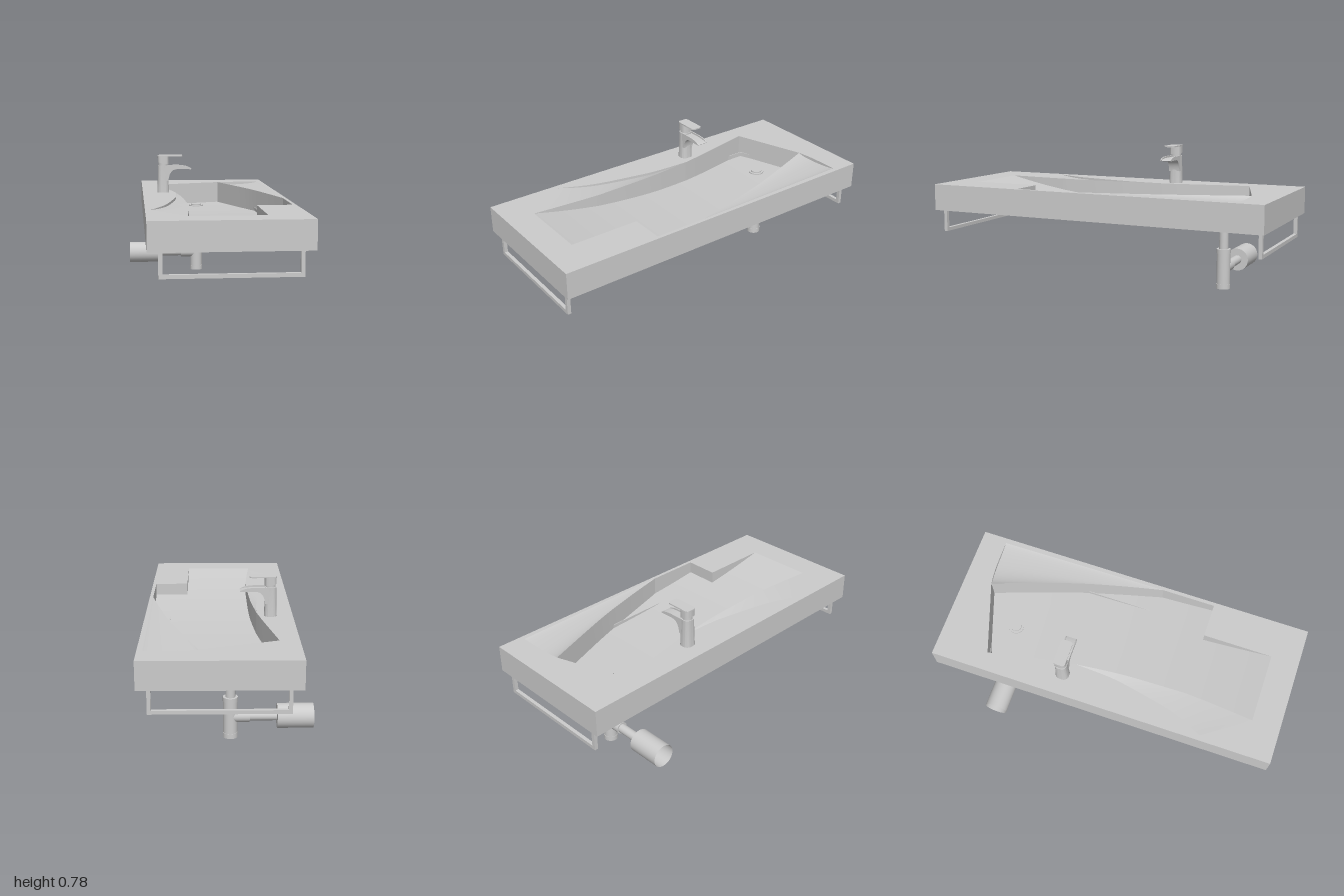
import * as THREE from 'three';
import { toCreasedNormals } from 'three/addons/utils/BufferGeometryUtils.js';

const grey = new THREE.MeshStandardMaterial({ color: 0xcccccc });
const thin = new THREE.MeshStandardMaterial({ color: 0xcccccc, side: THREE.DoubleSide });
const TOP = 0.558, BOTTOM = 0.405, CEILING = 0.45;

function add(parent, name, geometry, material = grey) {
  const mesh = new THREE.Mesh(geometry, material);
  mesh.name = name;
  parent.add(mesh);
  return mesh;
}

// Plan curve through [x, z] pairs, sampled into n + 1 points (Vector2 holding x, z)
function curve(pairs, n) {
  return new THREE.SplineCurve(pairs.map(([x, z]) => new THREE.Vector2(x, z))).getPoints(n);
}
const join = (a, b) => [...a, ...b.slice(1)];

// Ruled surface between two equally long plan lines, each with its height rule
function strip(a, ya, b, yb, across = 1) {
  const pos = [], index = [], w = across + 1;
  a.forEach((p, i) => {
    const q = b[i], t = i / (a.length - 1);
    for (let j = 0; j <= across; j++) {
      const k = j / across;
      const y = THREE.MathUtils.lerp(ya(p, t), yb(q, t), k);
      pos.push(p.x + (q.x - p.x) * k, y, p.y + (q.y - p.y) * k);
      if (i && j) {
        const c = i * w + j;
        index.push(c - w - 1, c - 1, c, c - w - 1, c, c - w);
      }
    }
  });
  const g = new THREE.BufferGeometry();
  g.setAttribute('position', new THREE.Float32BufferAttribute(pos, 3));
  g.setIndex(index);
  g.computeVertexNormals();
  return g;
}

// Flat horizontal plate with a hole; facing is +1 for up, -1 for down
function plate([x0, x1, z0, z1], hole, y, facing) {
  const flip = (x, z) => new THREE.Vector2(x, -facing * z);
  const shape = new THREE.Shape([flip(x0, z0), flip(x1, z0), flip(x1, z1), flip(x0, z1)]);
  shape.holes.push(new THREE.Path(hole.map(p => flip(p.x, p.y))));
  return new THREE.ShapeGeometry(shape).rotateX(-facing * Math.PI / 2).translate(0, y, 0);
}

function createBasin() {
  const g = new THREE.Group();
  g.name = 'basin';
  const outer = [-0.37, 0.45, -1, 1], inner = [-0.25, 0.33, -0.86, 0.86];
  const corners = ([x0, x1, z0, z1]) =>
    [[x0, z0], [x1, z0], [x1, z1], [x0, z1], [x0, z0]].map(([x, z]) => new THREE.Vector2(x, z));
  const flat = y => () => y;
  const floorY = p => TOP - 0.135 * (1 - Math.pow(Math.max(0, (p.y + 0.84) / 1.68), 2.7));
  const underY = p => Math.min(CEILING, floorY(p) - 0.015);

  // Plan lines of the bowl and of the shallow sweeps beside it
  const leftFront = curve([[-0.164, 0.84], [-0.143, 0.6], [-0.133, 0.44]], 8);
  const leftMid = curve([[-0.133, 0.44], [-0.143, 0.08], [-0.17, -0.2]], 16);
  const leftBack = curve([[-0.17, -0.2], [-0.2, -0.37], [-0.265, -0.7]], 16);
  const back = curve([[-0.265, -0.7], [0.145, -0.84]], 4);
  const rightCurve = curve([[0.145, -0.84], [0.29, -0.42], [0.37, -0.13], [0.43, 0.13]], 24);
  const rightEdge = curve([[0.43, 0.13], [0.43, 0.44]], 8);
  const notch = curve([[0.43, 0.44], [0.235, 0.44]], 2);
  const notchSide = curve([[0.235, 0.44], [0.235, 0.84]], 8);
  const frontEdge = curve([[0.235, 0.84], [-0.164, 0.84]], 2);
  const sweep = curve([[-0.34, 0.59], [-0.26, 0.4], [-0.2, 0.13], [-0.18, 0], [-0.17, -0.2]], 24);
  const backSweep = curve([[0.145, -0.84], [0.25, -0.852], [0.42, -0.855]], 24);

  // Deck, outer walls and the rim below
  const front = [rightEdge, notch, notchSide, frontEdge];
  const deckHole = [sweep, leftBack, back, backSweep, rightEdge, notch, notchSide, frontEdge]
    .flatMap((line, i) => (i === 0 || i === 4 ? line : line.slice(1)));
  add(g, 'deck', plate(outer, deckHole, TOP, 1), thin);
  const sides = (name, rect, y0, y1) => {
    const c = corners(rect);
    for (let i = 0; i < 4; i++) {
      const s = [c[i], c[i + 1]];
      add(g, name, strip(s, flat(y0), s, flat(y1)), thin);
    }
  };
  sides('outerWall', outer, BOTTOM, TOP);
  sides('recessWall', inner, BOTTOM, CEILING);
  add(g, 'bottomRim', plate(outer, corners(inner).slice(0, 4), BOTTOM, -1), thin);

  // Shallow sweeps in the deck, each with a low step
  const dip = depth => (p, t) => TOP - depth * 4 * t * (1 - t);
  const leftLine = join(leftFront, leftMid);
  add(g, 'sweepStep', strip(sweep, flat(TOP), sweep, dip(0.015)), thin);
  add(g, 'sweepSurface', strip(sweep, dip(0.015), leftLine, flat(TOP)), thin);
  add(g, 'backSweepStep', strip(backSweep, flat(TOP), backSweep, dip(0.018)), thin);
  add(g, 'backSweepSurface', strip(backSweep, dip(0.018), rightCurve, flat(TOP)), thin);

  // Bowl floor and walls
  const leftDeep = join(leftMid, leftBack);
  const rightDeep = join([...rightEdge].reverse(), [...rightCurve].reverse());
  const frontRight = [...notchSide].reverse();
  add(g, 'bowlFloor', strip(leftDeep, floorY, rightDeep, floorY, 6), thin);
  add(g, 'bowlFloorFront', strip(leftFront, floorY, frontRight, floorY, 4), thin);
  const walls = [join(leftLine, leftBack), back, rightCurve, ...front];
  for (const w of walls) add(g, 'bowlWall', strip(w, flat(TOP), w, floorY), thin);

  // Underside of the bowl, kept inside the recess
  const keep = line => line.map(p => new THREE.Vector2(
    THREE.MathUtils.clamp(p.x, inner[0] + 0.004, inner[1] - 0.004), p.y));
  const outline = walls.flatMap(w => keep(w).slice(1));
  add(g, 'recessCeiling', plate(inner, outline, CEILING, -1), thin);
  add(g, 'bowlUnderside', strip(keep(leftDeep), underY, keep(rightDeep), underY, 6), thin);
  add(g, 'bowlUndersideFront', strip(keep(leftFront), underY, keep(frontRight), underY, 4), thin);
  for (const w of walls.map(keep)) add(g, 'bowlUndersideWall', strip(w, flat(CEILING), w, underY), thin);
  return g;
}

// Upright block with a rounded plan
function roundedBlock(x0, x1, depth, r, y0, y1, steps = 1) {
  const h = depth / 2, s = new THREE.Shape();
  s.moveTo(x0 + r, -h).lineTo(x1 - r, -h).absarc(x1 - r, -h + r, r, -Math.PI / 2, 0);
  s.absarc(x1 - r, h - r, r, 0, Math.PI / 2).absarc(x0 + r, h - r, r, Math.PI / 2, Math.PI);
  s.absarc(x0 + r, -h + r, r, Math.PI, Math.PI * 1.5);
  return new THREE.ExtrudeGeometry(s, { depth: y1 - y0, steps, bevelEnabled: false, curveSegments: 8 })
    .rotateX(-Math.PI / 2).translate(0, y0, 0);
}

function createFaucet() {
  const g = new THREE.Group();
  g.name = 'faucet';
  g.position.z = -0.25;
  // Body, flared a little at the foot
  const body = roundedBlock(-0.277, -0.214, 0.068, 0.026, TOP, 0.722, 10);
  const p = body.attributes.position;
  for (let i = 0; i < p.count; i++) {
    const k = 1 + 0.13 * Math.pow((0.722 - p.getY(i)) / 0.164, 2);
    p.setX(i, -0.246 + (p.getX(i) + 0.246) * k);
    p.setZ(i, p.getZ(i) * k);
  }
  add(g, 'faucetBody', toCreasedNormals(body, 0.6));
  // Open spout: a tray between two cheeks
  const spout = (drop, width, z) => {
    const s = new THREE.Shape();
    s.moveTo(-0.235, 0.722 - drop).lineTo(-0.15, 0.722 - drop);
    s.quadraticCurveTo(-0.1, 0.72 - drop, -0.075, 0.702).lineTo(-0.078, 0.699);
    s.lineTo(-0.16, 0.7).quadraticCurveTo(-0.208, 0.7, -0.214, 0.63).lineTo(-0.235, 0.63);
    const e = new THREE.ExtrudeGeometry(s, { depth: width, bevelEnabled: false, curveSegments: 10 });
    return toCreasedNormals(e.translate(0, 0, z - width / 2), 0.6);
  };
  add(g, 'spoutTray', spout(0.01, 0.054, 0));
  for (const side of [-1, 1]) add(g, 'spoutCheek', spout(0, 0.006, side * 0.03));
  // Handle block with a slanted foot, and its flat lever
  add(g, 'handleNeck', new THREE.CylinderGeometry(0.028, 0.028, 0.03, 24).translate(-0.245, 0.73, 0));
  const block = roundedBlock(-0.277, -0.212, 0.066, 0.022, 0.728, 0.78);
  const q = block.attributes.position;
  for (let i = 0; i < q.count; i++) {
    if (q.getY(i) < 0.75) q.setY(i, 0.728 + (-0.212 - q.getX(i)) * 0.2);
  }
  add(g, 'handleBlock', toCreasedNormals(block, 0.6));
  add(g, 'handleLever', toCreasedNormals(roundedBlock(-0.278, -0.128, 0.066, 0.016, 0.777, 0.784), 0.6));
  return g;
}

function createDrain() {
  const g = new THREE.Group();
  g.name = 'drain';
  g.position.set(-0.016, 0, -0.635);
  const upright = (name, r, y0, y1) =>
    add(g, name, new THREE.CylinderGeometry(r, r, y1 - y0, 32).translate(0, (y0 + y1) / 2, 0));
  upright('drainFlange', 0.045, 0.418, 0.43);
  upright('drainPlug', 0.032, 0.43, 0.437);
  upright('drainCollar', 0.04, 0.373, 0.412);
  upright('tailPipe', 0.026, 0.22, 0.38);
  upright('trapNut', 0.04, 0.203, 0.227);
  upright('trapBody', 0.038, 0.027, 0.203);
  upright('trapCap', 0.04, 0, 0.027);
  const level = (name, r, x0, x1, open = false) =>
    add(g, name, new THREE.CylinderGeometry(r, r, x1 - x0, 32, 1, open)
      .rotateZ(Math.PI / 2).translate((x0 + x1) / 2 + 0.016, 0.118, 0), open ? thin : grey);
  level('outletCoupling', 0.034, -0.118, -0.03);
  level('outletPipe', 0.026, -0.27, -0.11);
  // Wall sleeve, open towards the wall
  level('wallSleeve', 0.066, -0.455, -0.263, true);
  add(g, 'wallSleeveCap', new THREE.CircleGeometry(0.066, 32)
    .rotateY(Math.PI / 2).translate(-0.247, 0.118, 0), thin);
  return g;
}

function createTowelBar(z) {
  const g = new THREE.Group();
  g.name = 'towelBar';
  g.position.set(0.041, 0, z);
  add(g, 'bar', new THREE.BoxGeometry(0.712, 0.02, 0.02).translate(0, 0.283, 0));
  for (const side of [-1, 1]) {
    add(g, 'barLeg', new THREE.BoxGeometry(0.02, 0.112, 0.02).translate(side * 0.346, 0.349, 0));
  }
  return g;
}

export function createModel() {
  const model = new THREE.Group();
  model.name = 'washbasin';
  model.add(createBasin(), createFaucet(), createDrain(), createTowelBar(0.968), createTowelBar(-0.968));
  return model;
}
